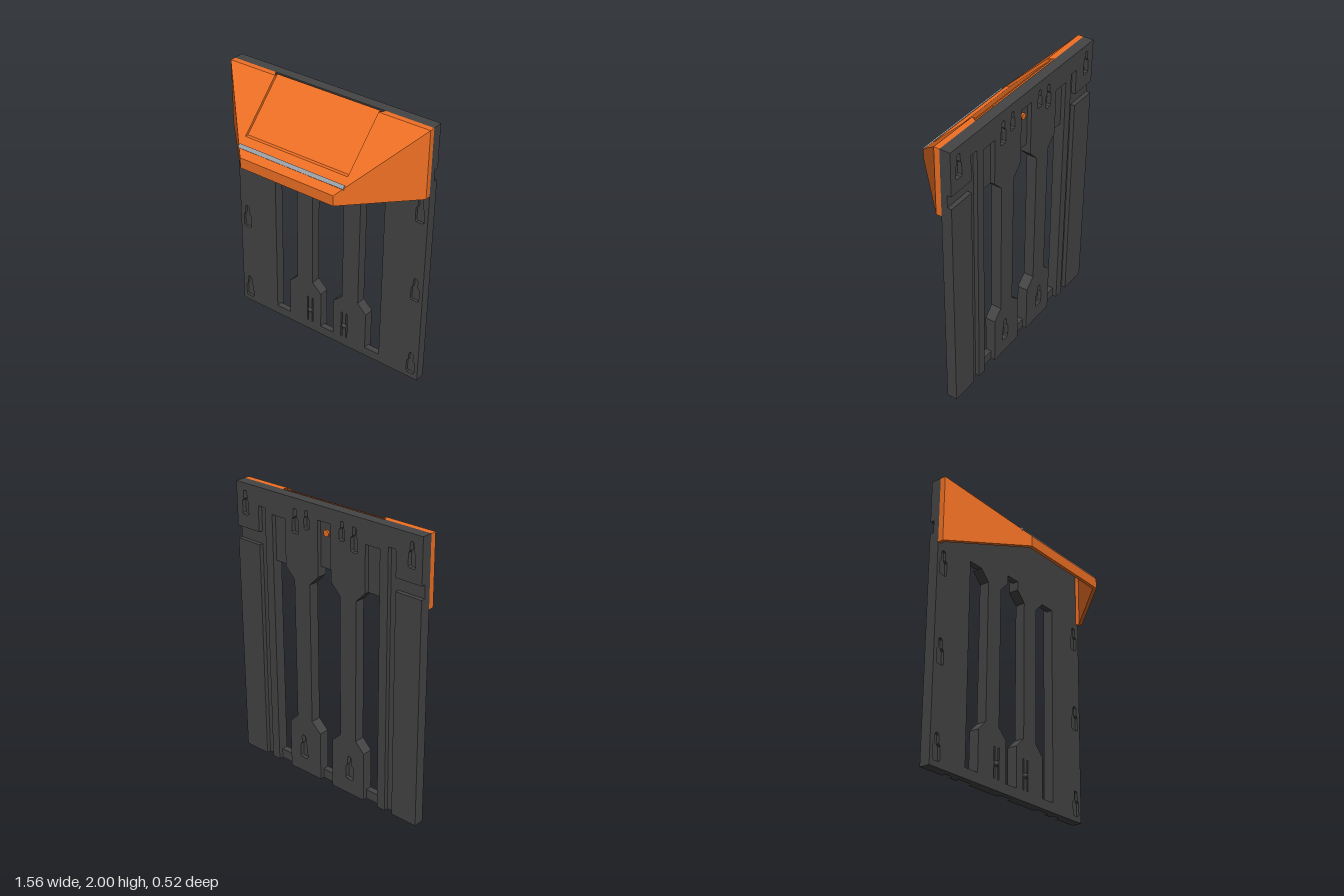
import * as THREE from 'three';

const paint = (color) => new THREE.MeshStandardMaterial({ color, flatShading: true, side: THREE.DoubleSide });

// Closed path from x,y pairs
const outline = (pts, Kind = THREE.Shape) => new Kind(pts.map(([x, y]) => new THREE.Vector2(x, y)));

const box = (x0, x1, y0, y1) => [[x0, y0], [x1, y0], [x1, y1], [x0, y1]];

// Hanging slot: wide below, narrow and rounded above
function keyhole(x, y, h = 0.18, w = 0.065) {
  const p = new THREE.Path(), a = w / 2, n = w * 0.27, ym = y + h * 0.55;
  p.moveTo(x - a + 0.01, y);
  p.lineTo(x + a - 0.01, y);
  p.lineTo(x + a, y + 0.01);
  p.lineTo(x + a, ym);
  p.lineTo(x + n, ym + 0.015);
  p.absarc(x, y + h - n, n, 0, Math.PI, false);
  p.lineTo(x - n, ym + 0.015);
  p.lineTo(x - a, ym);
  p.lineTo(x - a, y + 0.01);
  p.closePath();
  return p;
}

// Slab between two depths with optional holes
function slab(name, material, shape, holes, z0, z1) {
  shape.holes.push(...holes);
  const g = new THREE.ExtrudeGeometry(shape, { depth: z1 - z0, bevelEnabled: false, curveSegments: 8 });
  g.translate(0, 0, z0);
  const m = new THREE.Mesh(g, material);
  m.name = name;
  return m;
}

// Flat polygons joined into one sheet
function sheet(name, material, polys) {
  const v = [];
  for (const p of polys)
    for (let i = 1; i < p.length - 1; i++) v.push(...p[0], ...p[i], ...p[i + 1]);
  const g = new THREE.BufferGeometry();
  g.setAttribute('position', new THREE.Float32BufferAttribute(v, 3));
  g.computeVertexNormals();
  const m = new THREE.Mesh(g, material);
  m.name = name;
  return m;
}

function frameHalf(dark) {
  const half = new THREE.Group();
  // Front skin and core share one outline: side panel, rail and bar
  const body = [[0, 0], [0.78, 0], [0.78, 2], [0, 2], [0, 1.58], [0.055, 1.58], [0.055, 1.515],
    [0.13, 1.44], [0.13, 0.43], [0.055, 0.36], [0.055, 0.07], [0, 0.07]];
  const windowPts = [[0.455, 0.07], [0.455, 1.515], [0.34, 1.515], [0.265, 1.44], [0.265, 0.43], [0.335, 0.36], [0.335, 0.07]];
  const opening = () => outline(windowPts, THREE.Path);
  const slots = [0.13, 0.172].map((x) => outline(box(x - 0.006, x + 0.006, 0.075, 0.29), THREE.Path));
  const keys = [0.04, 0.67, 1.295].map((y) => keyhole(0.72, y));
  half.add(slab('frontSkin', dark, outline(body), [opening(), ...slots, ...keys], -0.205, -0.185));
  half.add(slab('core', dark, outline(body), [opening()], -0.23, -0.205));

  // Rear layer: header, rib and bar, with pockets and a wiring groove between
  const rear = [[0, 2], [0.78, 2], [0.78, 1.69], [0.58, 1.69], [0.58, 1.87], [0.52, 1.87], [0.52, 0], [0.455, 0],
    [0.455, 1.84], [0.34, 1.84], [0.34, 1.515], [0.265, 1.44], [0.265, 0.43], [0.335, 0.36], [0.335, 0],
    [0.055, 0], [0.055, 0.36], [0.13, 0.43], [0.13, 1.44], [0.055, 1.515], [0.055, 1.9], [0, 1.9]];
  half.add(slab('rearFrame', dark, outline(rear),
    [keyhole(0.7, 1.78, 0.17, 0.055), keyhole(0.25, 1.76, 0.17, 0.055), keyhole(0.15, 1.81, 0.13, 0.045), keyhole(0.21, 0.11)],
    -0.26, -0.23));
  half.add(slab('rearSidePanel', dark, outline(box(0.58, 0.78, 0, 1.6)), [], -0.26, -0.23));

  // Small latch knob in the foot
  const knob = new THREE.Mesh(new THREE.SphereGeometry(0.02, 12, 8), dark);
  knob.name = 'latchKnob';
  knob.position.set(0.151, 0.178, -0.187);
  half.add(knob);
  return half;
}

function hood(orange) {
  const polys = [];
  const both = (p) => polys.push(p, p.map(([x, y, z]) => [-x, y, z]).reverse());
  const B = 1.515, back = -0.185;
  // Key corners of the outer skin (t = 0) or the inner skin (t = wall)
  const corners = (t) => {
    const lx = 0.37 - 0.414 * t, lz = 0.265 - t, ly = 1.59 - 0.414 * t;
    const rx = 0.78 - t, ry = 2 - t, rz = -0.145 - 0.414 * t;
    return { lipLow: [lx, B, lz], lipTop: [lx, ly, lz], rimLow: [rx, B, rz], rimTop: [rx, ry, rz],
      backLow: [rx, B, back], backTop: [rx, ry, back] };
  };
  const flip = ([x, y, z]) => [-x, y, z];
  const o = corners(0), n = corners(0.025);

  // Outer sides, rear rim and lip
  both([o.lipLow, o.rimLow, o.rimTop, o.lipTop]);
  both([o.rimLow, o.backLow, o.backTop, o.rimTop]);
  polys.push([flip(o.lipLow), o.lipLow, o.lipTop, flip(o.lipTop)]);

  // Sloped face around the sunken lid
  const X = 0.405, Y = 1.69, Z = 1.855 - Y, d = 0.025;
  polys.push([flip(o.lipTop), o.lipTop, [Y - 1.22, Y, Z], [1.22 - Y, Y, Z]]);
  both([[X, Y, Z], [Y - 1.22, Y, Z], o.rimTop, [X, 2, -0.145]]);
  both([[X, 2, -0.145], o.rimTop, o.backTop, [0.43, 2, back]]);

  // Lid, its ledge and its cheeks
  polys.push([[-X, Y, Z - d], [X, Y, Z - d], [X, 2, -0.145 - d], [-X, 2, -0.145 - d]]);
  polys.push([[-X, Y, Z], [X, Y, Z], [X, Y, Z - d], [-X, Y, Z - d]]);
  both([[X, Y, Z], [X, 2, -0.145], [X, 2, -0.145 - d], [X, Y, Z - d]]);

  // Inner skin and the lower edge joining both skins
  both([n.lipLow, n.lipTop, n.rimTop, n.rimLow]);
  both([n.rimLow, n.rimTop, n.backTop, n.backLow]);
  polys.push([flip(n.lipLow), flip(n.lipTop), n.lipTop, n.lipLow]);
  polys.push([flip(n.lipTop), flip(n.rimTop), n.rimTop, n.lipTop]);
  polys.push([flip(n.lipLow), n.lipLow, o.lipLow, flip(o.lipLow)]);
  both([o.lipLow, n.lipLow, n.rimLow, o.rimLow]);
  both([o.rimLow, n.rimLow, n.backLow, o.backLow]);
  return sheet('hood', orange, polys);
}

export function createModel() {
  const model = new THREE.Group();
  const dark = paint(0x444444), orange = paint(0xf07024), grey = paint(0x9aa0a6);

  const left = frameHalf(dark);
  left.name = 'frameLeft';
  const right = frameHalf(dark);
  right.name = 'frameRight';
  right.scale.x = -1;
  model.add(left, right, hood(orange));

  // Light strip across the slope
  const strip = new THREE.Mesh(new THREE.BoxGeometry(0.835, 0.028, 0.016), grey);
  strip.name = 'trimStrip';
  strip.position.set(0, 1.64, 0.215);
  strip.rotation.x = -Math.PI / 4;
  model.add(strip);

  // Fixing screw in the central rear pocket
  const screw = new THREE.Mesh(new THREE.CylinderGeometry(0.022, 0.022, 0.02, 12), orange);
  screw.name = 'fixingScrew';
  screw.rotation.x = Math.PI / 2;
  screw.position.set(0, 1.82, -0.232);
  model.add(screw);
  return model;
}
